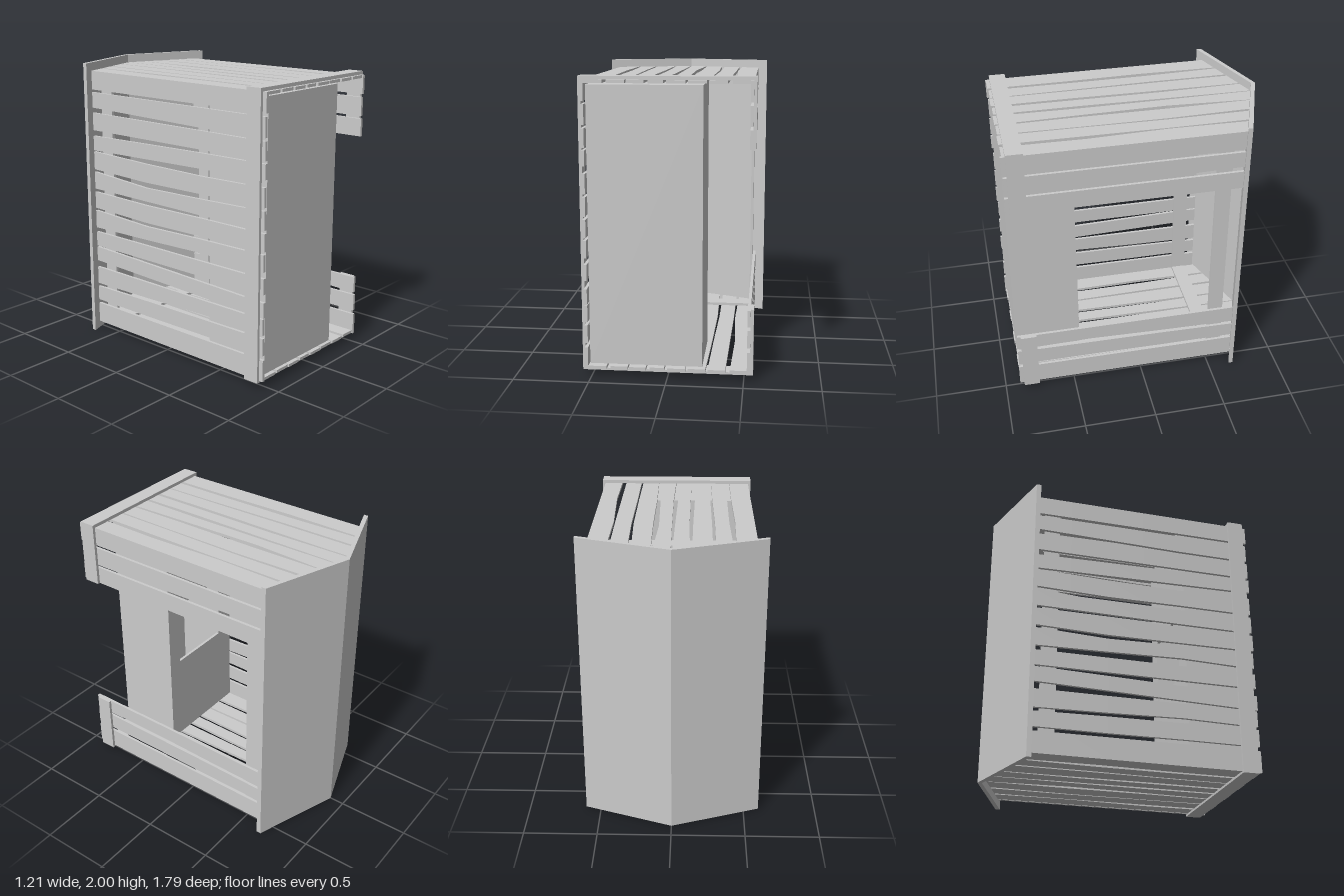
import * as THREE from 'three';

const mat = new THREE.MeshStandardMaterial({ color: 0xcccccc, flatShading: true, side: THREE.DoubleSide });

function add(parent, name, geo) {
  const mesh = new THREE.Mesh(geo, mat);
  mesh.name = name;
  parent.add(mesh);
  return mesh;
}

// Box given by its limits on each axis
function block(parent, name, x0, x1, y0, y1, z0, z1) {
  const g = new THREE.BoxGeometry(x1 - x0, y1 - y0, z1 - z0);
  g.translate((x0 + x1) / 2, (y0 + y1) / 2, (z0 + z1) / 2);
  return add(parent, name, g);
}

// Value of evenly spaced knots at s in 0..1
function knots(list, s) {
  const t = s * (list.length - 1);
  const i = Math.min(Math.floor(t), list.length - 2);
  return THREE.MathUtils.lerp(list[i], list[i + 1], t - i);
}

// Uneven plank running from front to back; lo and hi are its two long edges
function plankGeometry(lo, hi, front, backAt, thickness) {
  const g = new THREE.BoxGeometry(1, thickness, 1, 1, 1, 6);
  const p = g.attributes.position;
  for (let i = 0; i < p.count; i++) {
    const s = 0.5 - p.getZ(i);
    const across = p.getX(i) < 0 ? knots(lo, s) : knots(hi, s);
    p.setX(i, across);
    p.setZ(i, THREE.MathUtils.lerp(front, backAt(across), s));
  }
  g.computeVertexNormals();
  return g;
}

// Planks of the long walls: lower edge, upper edge (heights, front to back)
const wallPlanks = [
  [[0.05, 0.05], [0.2, 0.197]],
  [[0.23, 0.23, 0.225, 0.225], [0.35, 0.345, 0.34, 0.33]],
  [[0.37, 0.38, 0.365, 0.355], [0.483, 0.483]],
  [[0.49, 0.505, 0.52, 0.535], [0.595, 0.61, 0.625, 0.64]],
  [[0.65, 0.65], [0.757, 0.757]],
  [[0.8, 0.815, 0.8, 0.79], [0.915, 0.91, 0.897, 0.92]],
  [[0.935, 0.93, 0.925, 0.94], [1.055, 1.055, 1.05, 1.06]],
  [[1.075, 1.075, 1.08, 1.085], [1.2, 1.185, 1.175, 1.21]],
  [[1.22, 1.22, 1.215, 1.23], [1.35, 1.34, 1.345, 1.36]],
  [[1.4, 1.39, 1.38, 1.37], [1.5, 1.495, 1.485, 1.475]],
  [[1.517, 1.517], [1.64, 1.643]],
  [[1.66, 1.66, 1.67, 1.68], [1.79, 1.79]],
  [[1.812, 1.81], [1.942, 1.938]],
];

// Planks of the gable walls: left and right edge (x, front to back)
const gablePlanks = [
  [[-0.54, -0.54], [-0.4, -0.4, -0.41, -0.4]],
  [[-0.375, -0.37, -0.37, -0.385], [-0.26, -0.265, -0.275, -0.275]],
  [[-0.25, -0.25, -0.255, -0.255], [-0.14, -0.14, -0.13, -0.125]],
  [[-0.115, -0.11, -0.105, -0.115], [-0.02, -0.02, -0.01, -0.002]],
  [[0, 0.012, 0.01, 0.005], [0.12, 0.105, 0.095, 0.125]],
  [[0.135, 0.13, 0.135, 0.13], [0.25, 0.26, 0.265, 0.25]],
  [[0.265, 0.27, 0.28, 0.275], [0.38, 0.385, 0.39, 0.39]],
  [[0.41, 0.42, 0.4, 0.41], [0.54, 0.54]],
];

const gableBack = (x) => -0.87 + Math.abs(x) * 0.35;

function buildWalls() {
  const walls = new THREE.Group();
  walls.name = 'walls';
  wallPlanks.forEach(([lo, hi], i) => {
    const front = 0.897 - (i % 3) * 0.003;
    const g = plankGeometry(lo, hi, front, () => -0.675, 0.02);
    g.rotateZ(Math.PI / 2);
    add(walls, 'closedWallPlank', g).position.x = -0.53;
    // The other long wall leaves a doorway in the middle
    if (i < 3 || i > 9) add(walls, 'doorWallPlank', g).position.x = 0.53;
  });
  gablePlanks.forEach(([lo, hi], i) => {
    const g = plankGeometry(lo, hi, 0.893 - (i % 2) * 0.005, gableBack, 0.02);
    add(walls, 'upperGablePlank', g).position.y = 1.932;
    add(walls, 'lowerGablePlank', g).position.y = 0.063;
  });
  return walls;
}

// Folded roof sheet
function buildRoof() {
  const s = new THREE.Shape();
  [[-0.605, 0.685], [0, 0.897], [0.605, 0.685], [0.605, 0.653], [0, 0.868], [-0.605, 0.653]]
    .forEach(([x, y], i) => (i ? s.lineTo(x, y) : s.moveTo(x, y)));
  const g = new THREE.ExtrudeGeometry(s, { depth: 2, bevelEnabled: false });
  g.rotateX(-Math.PI / 2);
  return g;
}

// Outer band broken by the doorway, and the inner hoop under the roof
function buildFrames() {
  const frames = new THREE.Group();
  frames.name = 'frames';
  const z0 = 0.757, z1 = 0.868;
  block(frames, 'bandTop', -0.56, 0.56, 1.942, 1.965, z0, z1);
  block(frames, 'bandBottom', -0.56, 0.56, 0.037, 0.053, z0, z1);
  block(frames, 'bandClosedSide', -0.56, -0.54, 0.053, 1.942, z0, z1);
  block(frames, 'bandDoorSideUpper', 0.54, 0.56, 1.517, 1.942, z0, z1);
  block(frames, 'bandDoorSideLower', 0.54, 0.56, 0.053, 0.483, z0, z1);
  for (const y of [0.073, 1.902]) block(frames, 'hoopCross', -0.52, 0.52, y, y + 0.02, -0.6, -0.495);
  for (const x of [-0.52, 0.5]) block(frames, 'hoopPost', x, x + 0.02, 0.093, 1.902, -0.6, -0.495);
  return frames;
}

// Hollow bench with an opening in its seat
function buildBench() {
  const bench = new THREE.Group();
  bench.name = 'bench';
  const x0 = -0.507, x1 = 0.23, y0 = 0.09, y1 = 1.913, z0 = 0.41, z1 = 0.885, t = 0.02;
  block(bench, 'benchBase', x0, x1, y0, y1, z1 - t, z1);
  for (const x of [x0, x1 - t]) block(bench, 'benchSide', x, x + t, y0, y1, z0 + t, z1 - t);
  for (const y of [y0, y1 - t]) block(bench, 'benchEnd', x0 + t, x1 - t, y, y + t, z0 + t, z1 - t);
  const rect = (path, a, b, c, d) => path.moveTo(a, c).lineTo(b, c).lineTo(b, d).lineTo(a, d).closePath();
  const seat = new THREE.Shape();
  rect(seat, x0, x1, y0, y1);
  const hole = new THREE.Path();
  rect(hole, -0.36, 0.12, 0.76, 1.24);
  seat.holes.push(hole);
  add(bench, 'benchSeat', new THREE.ExtrudeGeometry(seat, { depth: t, bevelEnabled: false })).position.z = z0;
  return bench;
}

export function createModel() {
  const model = new THREE.Group();
  model.name = 'plankHut';
  model.add(buildWalls(), buildFrames(), buildBench());
  add(model, 'roof', buildRoof());
  return model;
}
